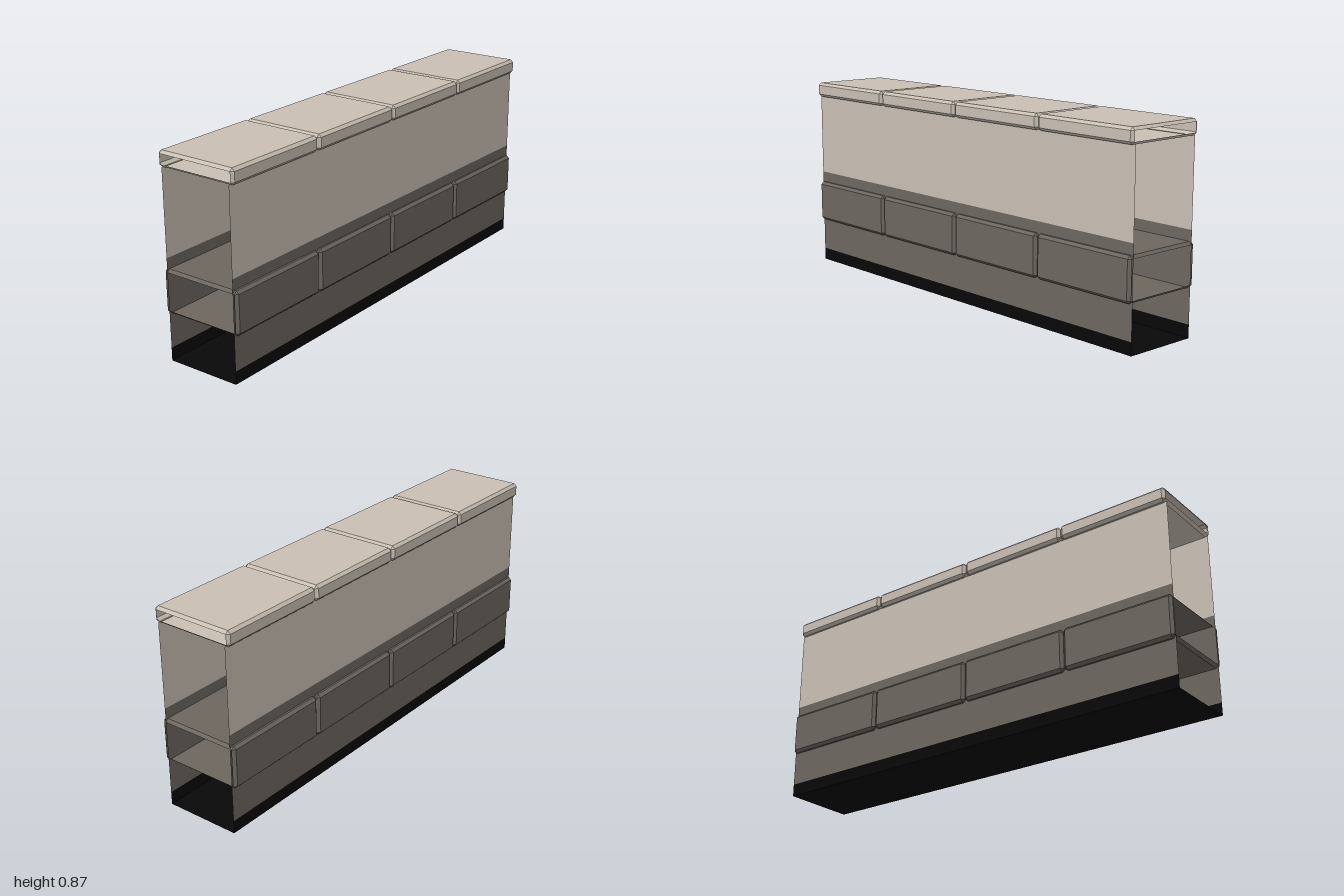
import * as THREE from 'three';

const paint = (name, color) => {
  const m = new THREE.MeshStandardMaterial({ color, side: THREE.DoubleSide });
  m.name = name;
  return m;
};

// Chamfered block along x; either end face can be left open
function chamferedBlock(w, h, d, c, openLeft, openRight) {
  const octagon = [], inner = [];
  // corners run from +y towards +z around the x axis
  [[1, 1], [-1, 1], [-1, -1], [1, -1]].forEach(([sy, sz], i) => {
    const pair = [[sy * h / 2, sz * (d / 2 - c)], [sy * (h / 2 - c), sz * d / 2]];
    if (i % 2) pair.reverse();
    octagon.push(...pair);
    const p = [sy * (h / 2 - c), sz * (d / 2 - c)];
    inner.push(p, p);
  });
  const sections = [[-w / 2, inner], [-w / 2 + c, octagon], [w / 2 - c, octagon], [w / 2, inner]]
    .map(([x, ring]) => ring.map(([y, z]) => new THREE.Vector3(x, y, z)));
  const pos = [];
  const tri = (a, b, e) => {
    if (a.equals(b) || b.equals(e) || a.equals(e)) return;
    for (const v of [a, b, e]) pos.push(v.x, v.y, v.z);
  };
  for (let s = 0; s < 3; s++) {
    for (let i = 0; i < 8; i++) {
      const j = (i + 1) % 8, p = sections[s], q = sections[s + 1];
      tri(p[i], p[j], q[j]);
      tri(p[i], q[j], q[i]);
    }
  }
  const [right, , , left] = sections;
  if (!openLeft) { tri(left[0], left[2], left[4]); tri(left[0], left[4], left[6]); }
  if (!openRight) { tri(right[0], right[4], right[2]); tri(right[0], right[6], right[4]); }
  const g = new THREE.BufferGeometry();
  g.setAttribute('position', new THREE.Float32BufferAttribute(pos, 3));
  g.computeVertexNormals();
  return g;
}

export function createModel() {
  const group = new THREE.Group();
  const stone = paint('paleStone', 0xc9bfb3);
  const dark = paint('darkStone', 0x6c665f);
  const black = paint('blackBase', 0x080808);
  const add = (name, geometry, material, x, y, z) => {
    const mesh = new THREE.Mesh(geometry, material);
    mesh.name = name;
    mesh.position.set(x, y, z);
    group.add(mesh);
    return mesh;
  };

  // Front and back wall sheets in three colour bands
  const bands = [
    ['baseBand', 0, 0.055, black],
    ['lowerWall', 0.055, 0.435, dark],
    ['upperWall', 0.435, 0.803, stone],
  ];
  for (const side of [1, -1]) {
    for (const [name, y0, y1, material] of bands) {
      const sheet = add((side > 0 ? 'front_' : 'back_') + name,
        new THREE.PlaneGeometry(2, y1 - y0), material, 0, (y0 + y1) / 2, side * 0.167);
      if (side < 0) sheet.rotation.y = Math.PI;
    }
  }

  // Underside
  add('underside', new THREE.PlaneGeometry(2, 0.334), black, 0, 0, 0).rotation.x = Math.PI / 2;

  // Row of dark blocks and row of coping stones, open at the outer ends
  const rows = [
    ['courseBlock', 0.203, 0.388, dark],
    ['copingStone', 0.801, 0.867, stone],
  ];
  for (const [name, y0, y1, material] of rows) {
    for (let i = 0; i < 4; i++) {
      const geometry = chamferedBlock(0.498, y1 - y0, 0.374, 0.012, i === 3, i === 0);
      add(name + (i + 1), geometry, material, (i - 1.5) * 0.501, (y0 + y1) / 2, 0);
    }
  }
  return group;
}
